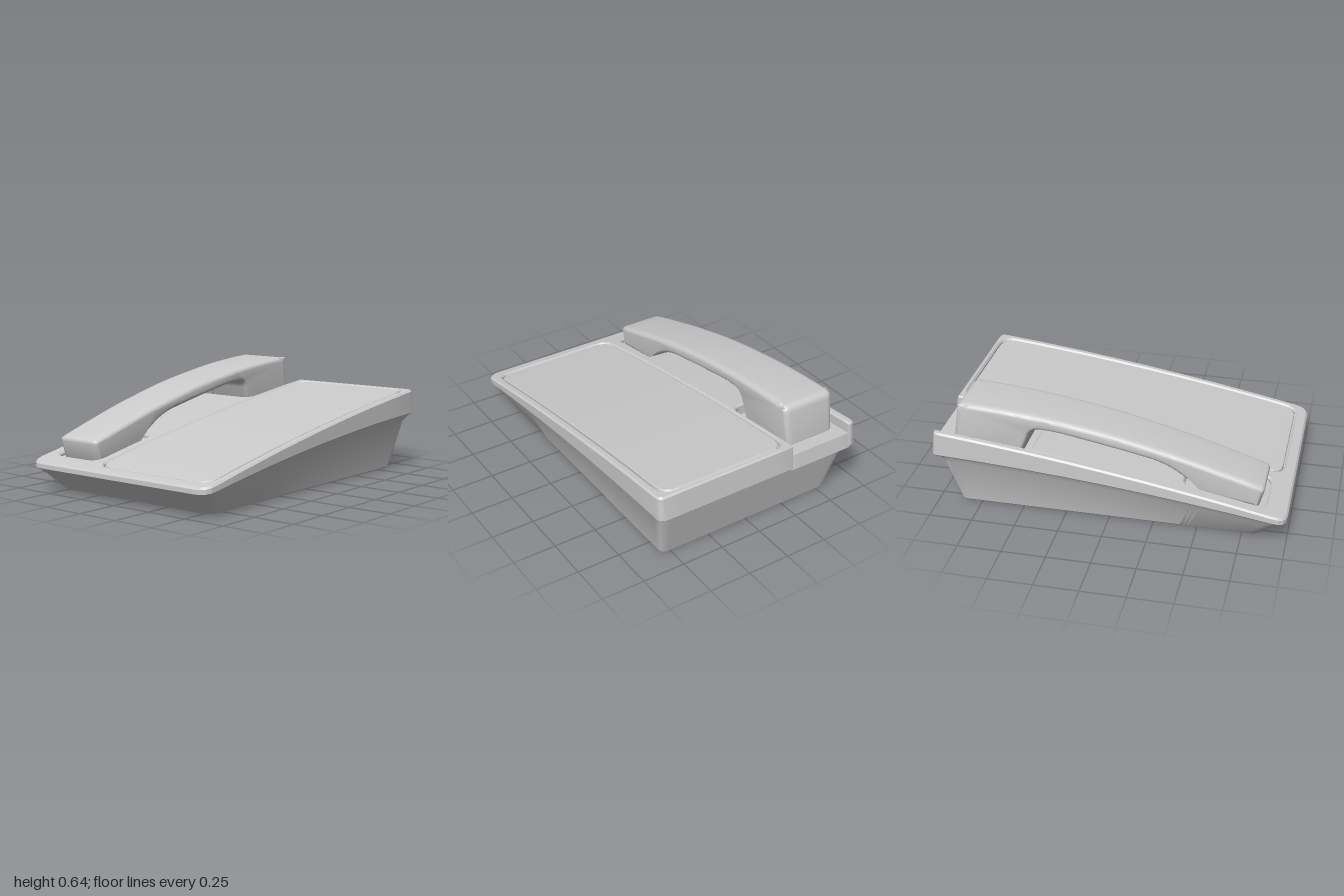
import * as THREE from 'three';
import { toCreasedNormals } from 'three/addons/utils/BufferGeometryUtils.js';

const material = new THREE.MeshStandardMaterial({ color: 0xcccccc });

// Curved heights of the case, from front (+z) to back (-z)
const topY = z => 0.355 - 0.156 * z - 0.029 * z * z;
const rimY = z => 0.26 - 0.1025 * z - 0.0325 * z * z;

// Closed shape through corners [x, y, rounding]
function roundedShape(corners) {
  const shape = new THREE.Shape();
  const n = corners.length;
  corners.forEach(([x, y, r], i) => {
    const p = new THREE.Vector2(x, y);
    const toward = ([a, b]) => new THREE.Vector2(a, b).sub(p).setLength(r).add(p);
    const a = toward(corners[(i + n - 1) % n]);
    const b = toward(corners[(i + 1) % n]);
    if (i === 0) shape.moveTo(a.x, a.y);
    else shape.lineTo(a.x, a.y);
    shape.quadraticCurveTo(x, y, b.x, b.y);
  });
  shape.closePath();
  return shape;
}

// Rounded rectangle in plan; v runs toward the back (v = -z)
const planRect = (x0, x1, v0, v1, rFront, rBack = rFront) => roundedShape([
  [x0, v0, rFront], [x1, v0, rFront], [x1, v1, rBack], [x0, v1, rBack]]);

// Split every triangle into four
function subdivide(geometry, levels) {
  let pos = Array.from(geometry.attributes.position.array);
  for (let l = 0; l < levels; l++) {
    const out = [];
    for (let i = 0; i < pos.length; i += 9) {
      const [a, b, c] = [0, 3, 6].map(k => pos.slice(i + k, i + k + 3));
      const mid = (p, q) => p.map((v, k) => (v + q[k]) / 2);
      const ab = mid(a, b), bc = mid(b, c), ca = mid(c, a);
      out.push(...a, ...ab, ...ca, ...ab, ...b, ...bc, ...ca, ...bc, ...c, ...ab, ...bc, ...ca);
    }
    pos = out;
  }
  const result = new THREE.BufferGeometry();
  result.setAttribute('position', new THREE.Float32BufferAttribute(pos, 3));
  return result;
}

// Plan shape given thickness between two curved heights
function slab(name, shape, bottom, top, bevel) {
  const depth = 0.2;
  let g = new THREE.ExtrudeGeometry(shape, {
    depth, curveSegments: 4, bevelEnabled: bevel > 0, bevelSegments: 1,
    bevelSize: bevel, bevelThickness: bevel, bevelOffset: -bevel });
  g.rotateX(-Math.PI / 2);
  g = subdivide(g, 3);
  const p = g.attributes.position;
  for (let i = 0; i < p.count; i++) {
    const y = p.getY(i), z = p.getZ(i);
    const inner = THREE.MathUtils.clamp(y, 0, depth);
    const t = inner / depth;
    p.setY(i, THREE.MathUtils.lerp(bottom(z) + bevel, top(z) - bevel, t) + y - inner);
    p.setZ(i, z + 0.015 * t * Math.max(0, -z)); // back wall leans forward
  }
  const mesh = new THREE.Mesh(toCreasedNormals(g, 0.45), material);
  mesh.name = name;
  return mesh;
}

// Tapered lower case lofted from rounded rectangles
function lowerCase() {
  const rings = [
    [0.545, -0.85, 0.865, 0.06, () => 0],
    [0.555, -0.86, 0.875, 0.06, () => 0.01],
    [0.61, -0.945, 0.945, 0.07, z => rimY(z) - 0.04],
    [0.64, -0.994, 0.994, 0.07, z => rimY(z) + 0.01],
  ];
  const N = 240, pos = [], index = [];
  for (const [hw, v0, v1, r, height] of rings) {
    const pts = planRect(-hw, hw, v0, v1, r, r * 0.6).getSpacedPoints(N);
    for (let j = 0; j < N; j++) pos.push(pts[j].x, height(-pts[j].y), -pts[j].y);
  }
  const center = pos.length / 3;
  pos.push(0, 0, 0);
  for (let j = 0; j < N; j++) {
    const k = (j + 1) % N;
    index.push(center, k, j);
    for (let i = 0; i < rings.length - 1; i++) {
      const a = i * N + j, b = i * N + k;
      index.push(a, b, b + N, a, b + N, a + N);
    }
  }
  const g = new THREE.BufferGeometry();
  g.setAttribute('position', new THREE.Float32BufferAttribute(pos, 3));
  g.setIndex(index);
  const mesh = new THREE.Mesh(toCreasedNormals(g, 0.45), material);
  mesh.name = 'lowerCase';
  return mesh;
}

// Handset: side profile [z, y, rounding] extruded across and tapered
function handset() {
  const profile = roundedShape([
    [0.835, 0.175, 0.01], [0.868, 0.298, 0.025], [0.7, 0.352, 0.07],
    [0.4, 0.442, 0.12], [0, 0.54, 0.18], [-0.45, 0.612, 0.18],
    [-0.76, 0.636, 0.06], [-0.857, 0.637, 0.04], [-0.895, 0.4, 0.015],
    [-0.5, 0.35, 0.015], [-0.435, 0.52, 0.05], [-0.3, 0.512, 0.05],
    [0, 0.457, 0.14], [0.31, 0.392, 0.1], [0.52, 0.245, 0.06], [0.56, 0.22, 0.02],
  ]);
  const g = new THREE.ExtrudeGeometry(profile, {
    depth: 0.25, curveSegments: 8, bevelSegments: 5,
    bevelThickness: 0.04, bevelSize: 0.026, bevelOffset: -0.026 });
  g.translate(0, 0, -0.125);
  g.rotateY(-Math.PI / 2);
  const p = g.attributes.position;
  for (let i = 0; i < p.count; i++) {
    const z = p.getZ(i);
    const below = Math.max(0, 0.47 - 0.19 * z - p.getY(i));
    p.setX(i, p.getX(i) * (0.945 - 0.065 * z - 0.25 * below) - 0.408);
  }
  const mesh = new THREE.Mesh(toCreasedNormals(g, 0.6), material);
  mesh.name = 'handset';
  return mesh;
}

export function createModel() {
  const group = new THREE.Group();
  group.name = 'deskTelephone';

  // Upper case: outline with an ear notch open to the back, mouth pit and panel opening
  const outline = roundedShape([
    [-0.645, -1, 0.08], [0.645, -1, 0.08], [0.645, 1, 0.04],
    [-0.21, 1, 0.004], [-0.21, 0.44, 0.06], [-0.6, 0.44, 0.06],
    [-0.6, 1, 0.004], [-0.645, 1, 0.035],
  ]);
  const pit = () => planRect(-0.565, -0.25, -0.875, -0.42, 0.06);
  const opening = () => planRect(-0.185, 0.6, -0.93, 0.968, 0.09);
  outline.holes.push(pit(), opening());
  group.add(slab('upperCase', outline, rimY, topY, 0.01));

  // Recess floors
  group.add(slab('mouthCradleFloor', pit(), rimY, z => topY(z) - 0.025, 0));
  group.add(slab('earCradleFloor', planRect(-0.602, -0.208, 0.43, 1, 0.05, 0.002),
    rimY, z => topY(z) - 0.065, 0));
  group.add(slab('panelSeat', opening(), rimY, z => topY(z) - 0.02, 0));

  // Flat cover panel set in a fine groove
  group.add(slab('coverPanel', planRect(-0.177, 0.592, -0.922, 0.96, 0.085),
    z => topY(z) - 0.03, z => topY(z) - 0.003, 0.004));

  group.add(lowerCase(), handset());
  return group;
}
